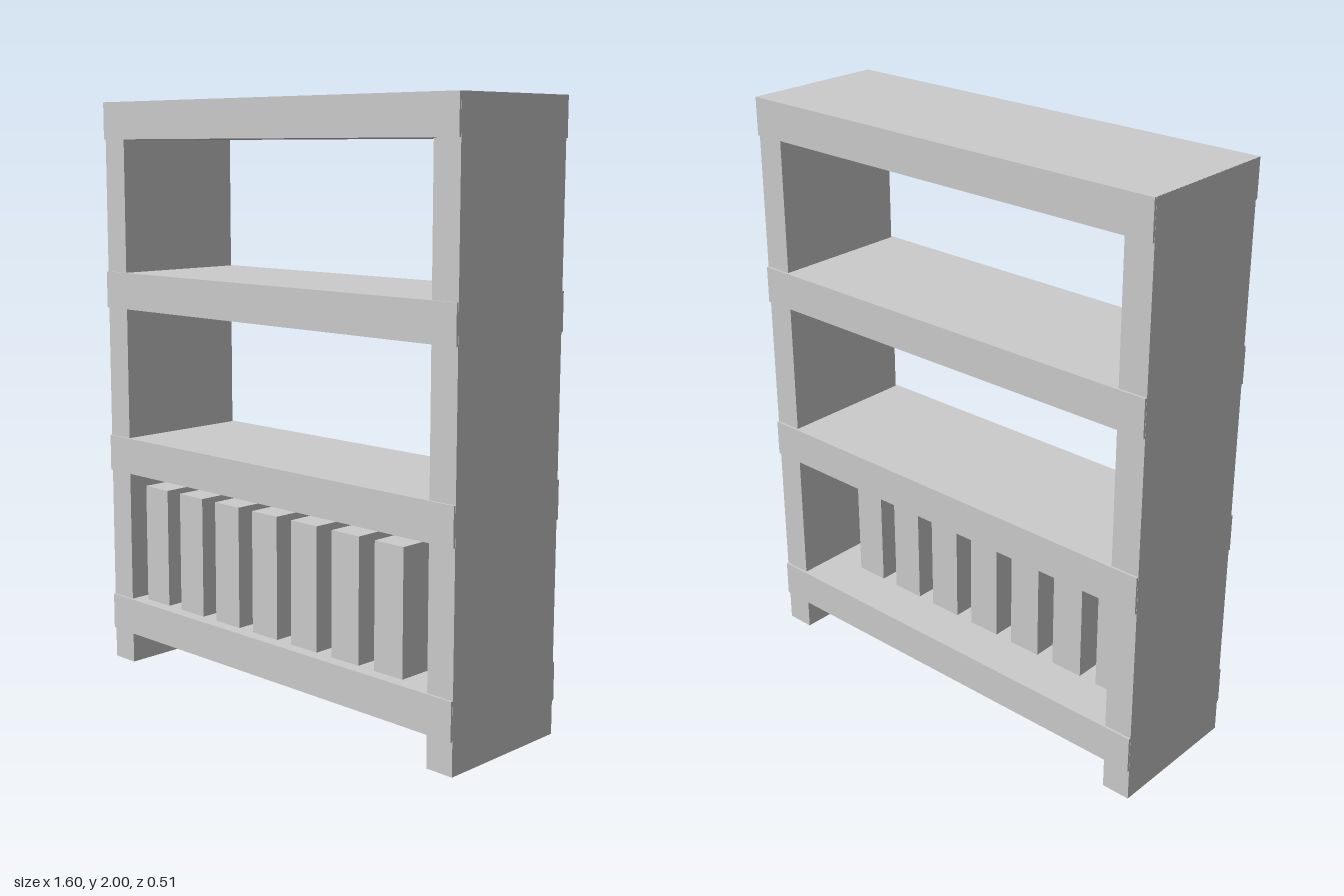
import * as THREE from 'three';

export function createModel() {
  const model = new THREE.Group();
  const material = new THREE.MeshStandardMaterial({ color: 0xcccccc, flatShading: true });

  // Box given by its centre in x and z and by its bottom height
  function addBox(parent, name, [w, h, d], [x, bottom, z]) {
    const mesh = new THREE.Mesh(new THREE.BoxGeometry(w, h, d), material);
    mesh.name = name;
    mesh.position.set(x, bottom + h / 2, z);
    parent.add(mesh);
  }

  // Upright side panels, whose lower ends form the feet
  addBox(model, 'leftSide', [0.1, 1.999, 0.492], [0.75, 0, 0]);
  addBox(model, 'rightSide', [0.1, 1.999, 0.492], [-0.75, 0, 0]);

  // Thick boards, slightly deeper than the sides
  const boards = [['bottomShelf', 0.11], ['lowerShelf', 0.7], ['upperShelf', 1.287], ['topBoard', 1.873]];
  for (const [name, bottom] of boards) {
    addBox(model, name, [1.599, 0.127, 0.508], [0, bottom, 0]);
  }

  // Row of upright books on the bottom shelf, set towards the front
  const books = new THREE.Group();
  books.name = 'books';
  for (let i = 0; i < 7; i++) {
    addBox(books, 'book' + (i + 1), [0.118, 0.418, 0.3], [-0.597 + i * 0.1845, 0.237, 0.06]);
  }
  model.add(books);

  return model;
}
